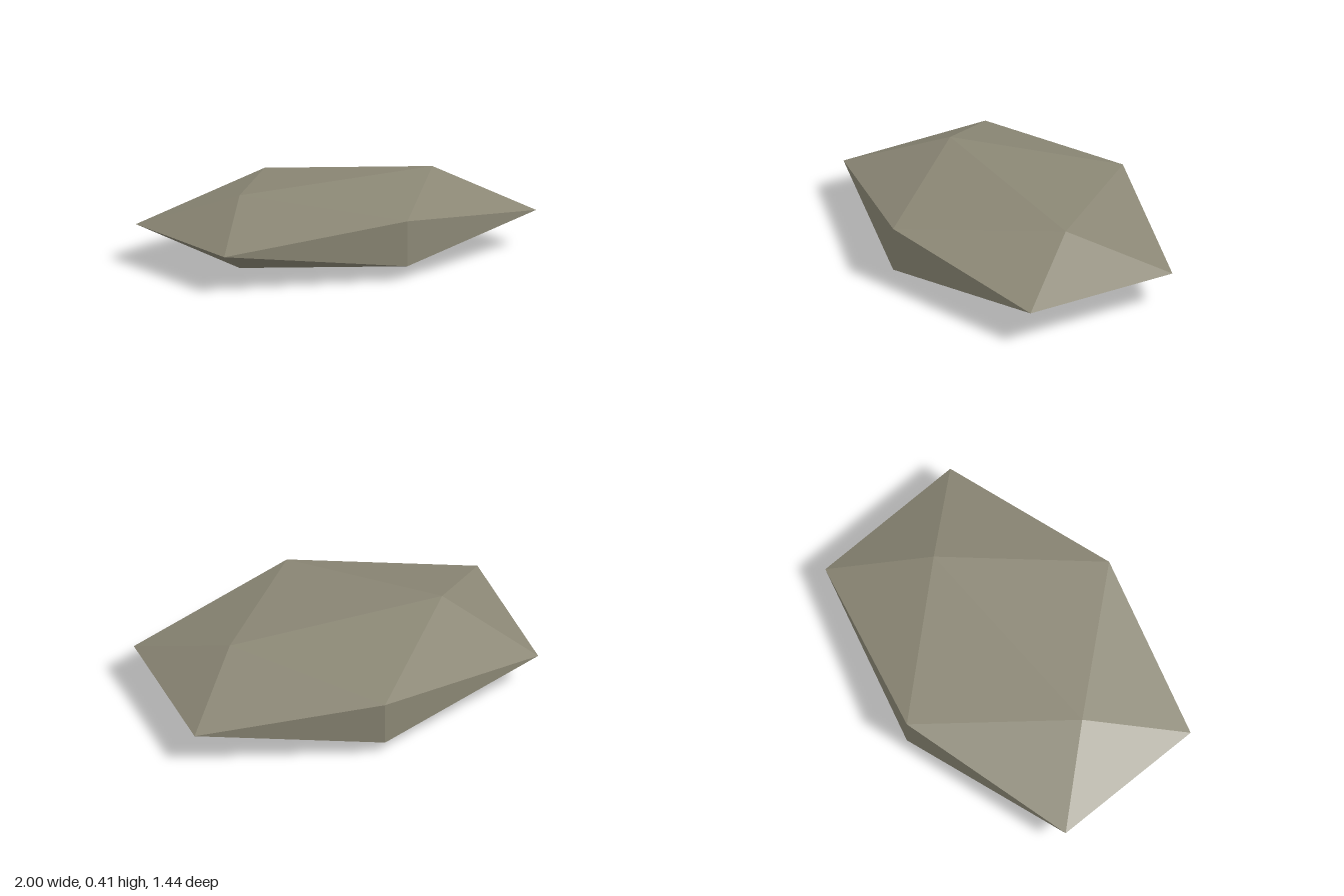
import * as THREE from 'three';

export function createModel() {
  const group = new THREE.Group();
  group.name = 'flatStone';

  const stone = new THREE.MeshStandardMaterial({ color: 0x8b8775, flatShading: true });
  stone.name = 'stone';

  // Flattened twenty-sided pebble, sized by its half extents
  const geometry = new THREE.IcosahedronGeometry(1, 0);
  geometry.computeBoundingBox();
  const half = geometry.boundingBox.max;
  geometry.scale(1 / half.x, 0.2025 / half.y, 0.72 / half.z);
  geometry.translate(0, 0.2025, 0);

  const pebble = new THREE.Mesh(geometry, stone);
  pebble.name = 'pebble';
  group.add(pebble);
  return group;
}
